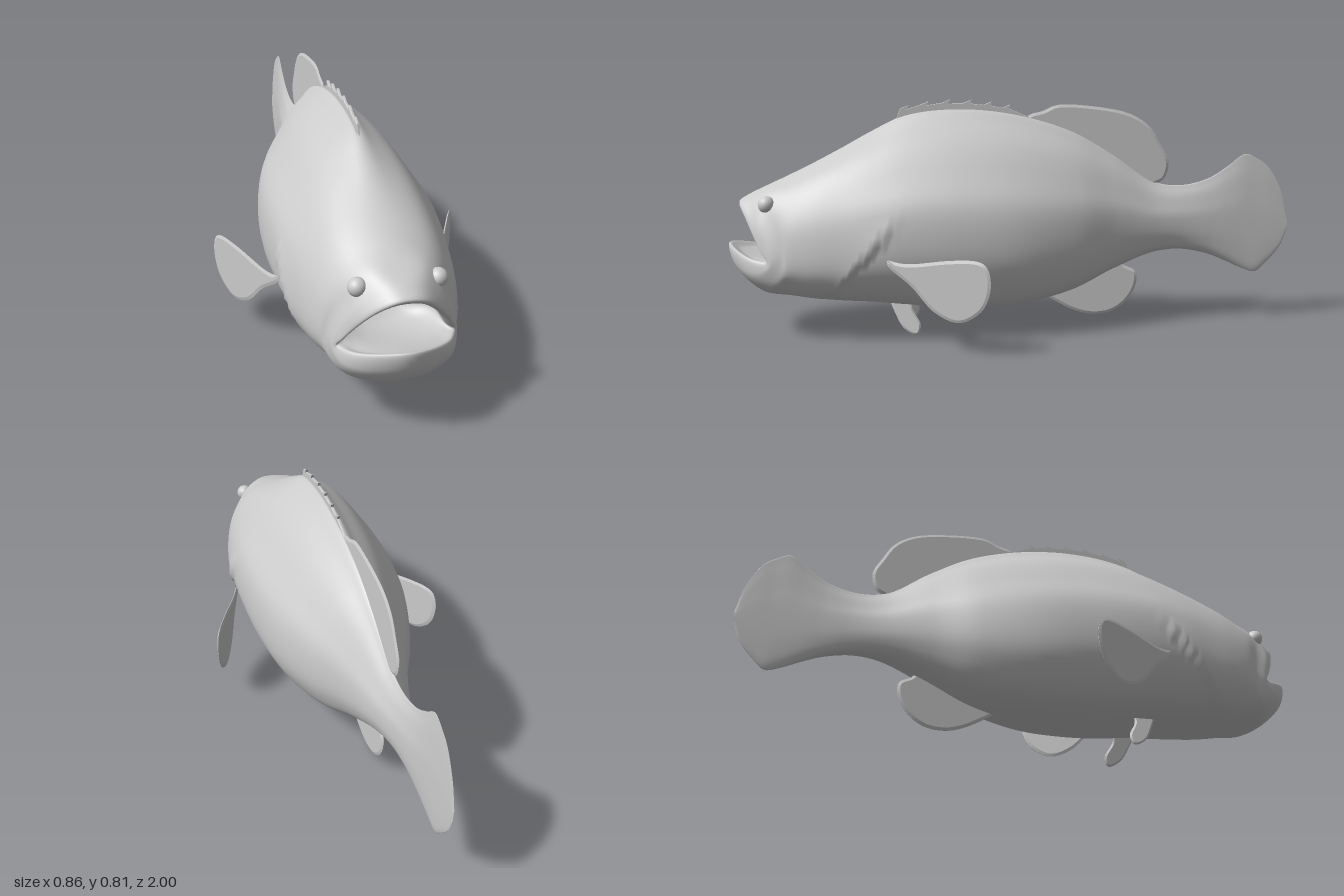
import * as THREE from 'three';
import { ParametricGeometry } from 'three/addons/geometries/ParametricGeometry.js';
import { mergeVertices } from 'three/addons/utils/BufferGeometryUtils.js';

const skin = new THREE.MeshStandardMaterial({ color: 0xcccccc });
skin.name = 'grey skin';

// Half cross-sections from back to belly: [width, height], height -1..1 about the widest level
const RIDGED = [[0, 1], [0.18, 0.91], [0.46, 0.75], [0.72, 0.52], [0.95, 0.27], [1, -0.1], [0.9, -0.5], [0.62, -0.85], [0, -1]];
const ROUND = [[0, 1], [0.3, 0.96], [0.58, 0.84], [0.8, 0.62], [0.95, 0.32], [1, -0.1], [0.9, -0.5], [0.6, -0.85], [0, -1]];

// Body stations from tail edge to head: z, top, bottom, half width
const STATIONS = [
  [-1, 0.37, 0.33, 0.002], [-0.975, 0.465, 0.265, 0.004], [-0.925, 0.555, 0.205, 0.008],
  [-0.885, 0.585, 0.172, 0.011], [-0.836, 0.605, 0.185, 0.015], [-0.77, 0.56, 0.215, 0.021],
  [-0.7, 0.518, 0.243, 0.028], [-0.6, 0.495, 0.262, 0.042], [-0.5, 0.51, 0.253, 0.066],
  [-0.35, 0.61, 0.195, 0.118], [-0.2, 0.695, 0.125, 0.188], [0, 0.755, 0.08, 0.25],
  [0.2, 0.775, 0.075, 0.274], [0.38, 0.755, 0.09, 0.276], [0.5, 0.7, 0.103, 0.268],
  [0.6, 0.645, 0.11, 0.255], [0.7, 0.592, 0.12, 0.238], [0.78, 0.553, 0.132, 0.214],
];

// Head rings, back to belly: face, lip fold, lip edge, inner lip
const FACE = [[0, 0.515, 0.86], [0.06, 0.51, 0.86], [0.1, 0.49, 0.855], [0.135, 0.45, 0.85], [0.18, 0.37, 0.82],
  [0.202, 0.28, 0.8], [0.18, 0.2, 0.83], [0.11, 0.165, 0.87], [0, 0.158, 0.89]];
const LIP_FOLD = [[0, 0.485, 0.925], [0.05, 0.477, 0.92], [0.097, 0.445, 0.905], [0.145, 0.39, 0.885], [0.178, 0.32, 0.855],
  [0.19, 0.265, 0.845], [0.16, 0.235, 0.9], [0.09, 0.24, 0.955], [0, 0.247, 0.984]];
const LIP_EDGE = [[0, 0.462, 0.957], [0.045, 0.453, 0.952], [0.09, 0.42, 0.93], [0.135, 0.365, 0.9], [0.168, 0.31, 0.87],
  [0.178, 0.28, 0.853], [0.145, 0.285, 0.91], [0.08, 0.305, 0.967], [0, 0.318, 0.998]];
const LIP_INNER = [[0, 0.435, 0.925], [0.045, 0.428, 0.92], [0.085, 0.4, 0.9], [0.125, 0.355, 0.87], [0.15, 0.31, 0.845],
  [0.16, 0.285, 0.835], [0.13, 0.275, 0.88], [0.07, 0.285, 0.93], [0, 0.295, 0.955]];

// Closed smooth ring from a mirrored half section
function ring(half) {
  const right = half.map(([x, y, z]) => new THREE.Vector3(-x, y, z));
  const left = half.slice(1, -1).reverse().map(([x, y, z]) => new THREE.Vector3(x, y, z));
  return new THREE.CatmullRomCurve3([...right, ...left], true, 'catmullrom', 0.5);
}

function section(z, top, bottom, width) {
  const mid = bottom + (top - bottom) * 0.38;
  const k = THREE.MathUtils.smoothstep(z, 0.3, 0.75);
  return RIDGED.map(([w, h], i) => {
    const x = THREE.MathUtils.lerp(w, ROUND[i][0], k) * width;
    const u = THREE.MathUtils.lerp(h, ROUND[i][1], k);
    return [x, mid + u * (u > 0 ? top - mid : mid - bottom), z];
  });
}

// One skin from tail fin to head, folding over the lips into the mouth
function bodyGeometry() {
  const around = 64, along = 200;
  const throat = (z, s) => ROUND.map(([w, h]) => [w * 0.13 * s, 0.32 + h * 0.06 * s, z]);
  const rings = [...STATIONS.map((s) => section(...s)), FACE, LIP_FOLD, LIP_EDGE, LIP_INNER, throat(0.74, 1), throat(0.66, 0.02)].map(ring);
  const columns = [];
  for (let j = 0; j <= around; j++) {
    columns.push(new THREE.CatmullRomCurve3(rings.map((r) => r.getPoint((j % around) / around))));
  }
  let geo = new ParametricGeometry((u, v, p) => {
    columns[Math.round(u * around)].getPoint(Math.min(1, Math.max(0, v)), p);
    // Gill cover: a raised rear edge that fades toward the cheek
    const d = p.z - (0.44 + 0.92 * (0.385 - p.y));
    const mask = THREE.MathUtils.smoothstep(p.y, 0.11, 0.2) * (1 - THREE.MathUtils.smoothstep(p.y, 0.36, 0.44));
    if (d > 0) p.x += Math.sign(p.x) * 0.014 * mask * Math.exp(-d / 0.07);
  }, around, along);
  geo.deleteAttribute('uv');
  geo.deleteAttribute('normal');
  geo = mergeVertices(geo, 1e-5);
  geo.computeVertexNormals();
  return geo;
}

// Thin blade from a [z, y] outline; bend(z, y) gives its sideways position
function fin(name, outline, { smooth = true, edge = 0.01, bend = () => 0 } = {}) {
  let pts = outline.map(([z, y]) => new THREE.Vector2(z, y));
  if (smooth) pts = new THREE.SplineCurve([...pts, pts[0]]).getPoints(48).slice(0, -1);
  const geo = new THREE.ExtrudeGeometry(new THREE.Shape(pts), {
    depth: 0.002, bevelThickness: 0.004, bevelSize: edge, bevelOffset: -edge, bevelSegments: 1,
  });
  geo.translate(0, 0, -0.001).rotateY(-Math.PI / 2);
  const p = geo.attributes.position;
  for (let i = 0; i < p.count; i++) p.setX(i, p.getX(i) + bend(p.getZ(i), p.getY(i)));
  geo.computeVertexNormals();
  const mesh = new THREE.Mesh(geo, skin);
  mesh.name = name;
  return mesh;
}

export function createModel() {
  const fish = new THREE.Group();
  fish.name = 'fish';

  const body = new THREE.Mesh(bodyGeometry(), skin);
  body.name = 'body';
  fish.add(body);

  // Spiny front dorsal fin with backswept points
  const spines = [[0.44, 0.7], [0.41, 0.75]];
  [0.37, 0.3, 0.225, 0.15, 0.08, 0.015].forEach((z, i) => {
    const y = [0.789, 0.802, 0.808, 0.807, 0.8, 0.789][i];
    spines.push([z + 0.03, y - 0.012], [z, y], [z + 0.006, y - 0.014]);
  });
  spines.push([-0.05, 0.745], [-0.06, 0.69]);
  fish.add(fin('spinyDorsalFin', spines, { smooth: false, edge: 0.001 }));

  // Soft rear dorsal fin and anal fin
  fish.add(fin('softDorsalFin', [[-0.03, 0.71], [-0.05, 0.75], [-0.1, 0.765], [-0.16, 0.787], [-0.28, 0.78], [-0.4, 0.757],
    [-0.48, 0.71], [-0.525, 0.64], [-0.553, 0.585], [-0.545, 0.53], [-0.515, 0.505], [-0.45, 0.5], [-0.25, 0.6]]));
  fish.add(fin('analFin', [[-0.08, 0.12], [-0.14, 0.083], [-0.21, 0.045], [-0.28, 0.026], [-0.35, 0.034], [-0.405, 0.07],
    [-0.44, 0.125], [-0.442, 0.18], [-0.4, 0.205], [-0.35, 0.24], [-0.2, 0.19]]));

  // Paired fins and eyes
  for (const side of [1, -1]) {
    const label = side > 0 ? 'left' : 'right';
    fish.add(fin(label + 'PectoralFin', [[0.455, 0.3], [0.38, 0.29], [0.25, 0.312], [0.16, 0.317], [0.125, 0.29], [0.12, 0.22],
      [0.15, 0.15], [0.22, 0.108], [0.3, 0.138], [0.37, 0.215], [0.44, 0.27]],
    { bend: (z) => side * (0.265 + (0.455 - z) * 0.48) }));
    fish.add(fin(label + 'PelvicFin', [[0.45, 0.13], [0.43, 0.08], [0.4, 0.025], [0.355, 0.001], [0.34, 0.035], [0.365, 0.085], [0.37, 0.13]],
      { edge: 0.006, bend: (z, y) => side * (0.121 - y * 0.2 + (0.4 - z) * 0.1) }));

    const eye = new THREE.Mesh(new THREE.SphereGeometry(0.029, 20, 14), skin);
    eye.name = label + 'Eye';
    eye.position.set(side * 0.121, 0.466, 0.852);
    fish.add(eye);
  }
  return fish;
}
